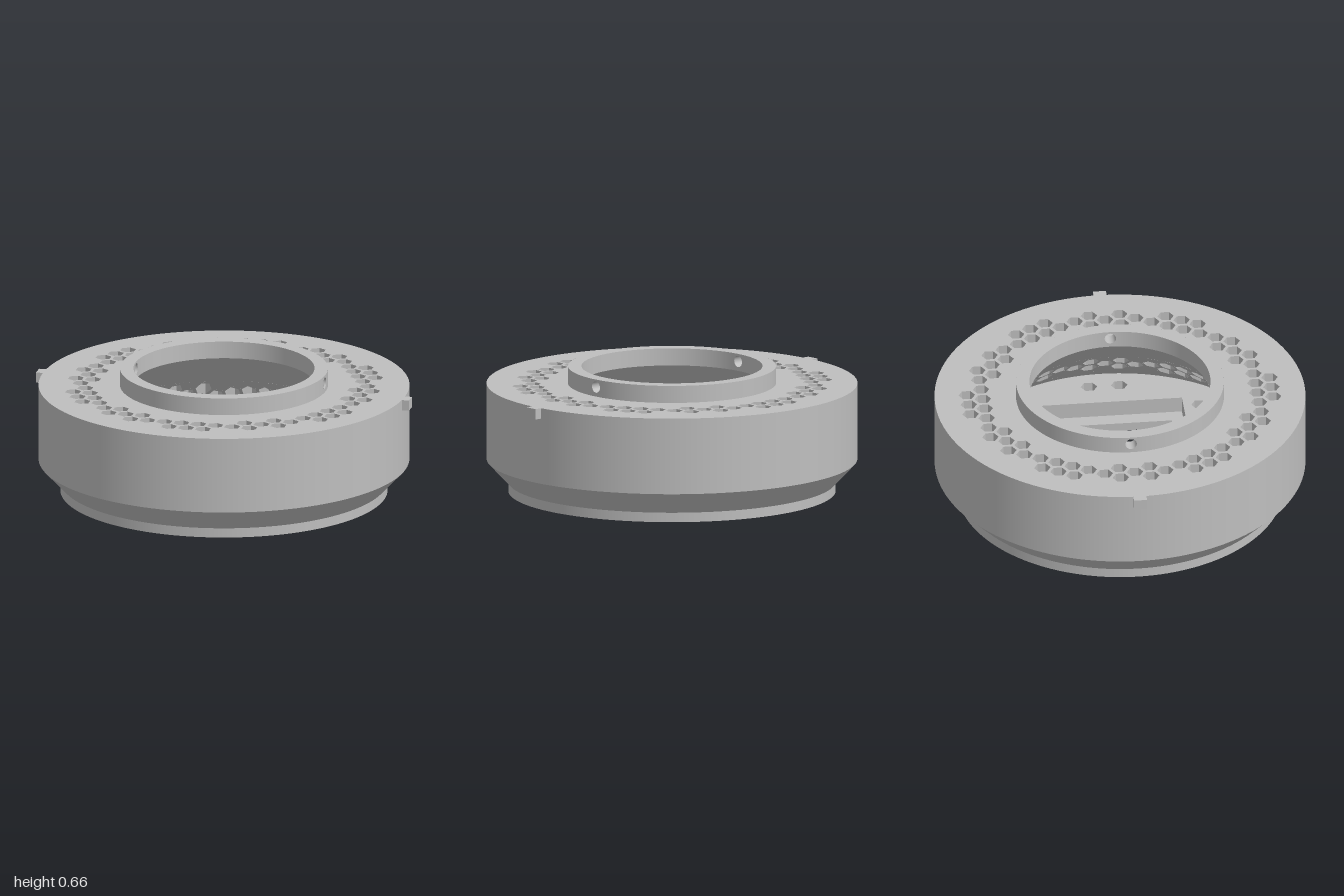
import * as THREE from 'three';
import { mergeGeometries } from 'three/addons/utils/BufferGeometryUtils.js';

const SEG = 128;
const TOP = 0.57, RIM = 0.66, FLOOR = 0.13, LIP = 0.045;
const BORE = 0.47, COLLAR = 0.54, BODY = 0.963, BASE = 0.85, CAVITY = 0.89;
const CONE_IN = 0.635, CONE_OUT = 0.848;
const DX = 0.091, DZ = 0.079, HEX = 0.043;
const PIN = 0.12; // half angle of the collar patch around a pin hole

// Height of the conical ceiling inside the housing at radius r
const coneY = r => TOP - (r - BORE) * (TOP - FLOOR) / (CAVITY - BORE);
const flat = y => () => y;

const ring = (cx, cz, r, n, start = 0) => Array.from({ length: n }, (_, i) => {
  const a = start + i / n * Math.PI * 2;
  return new THREE.Vector2(cx + r * Math.cos(a), cz + r * Math.sin(a));
});
const hexagon = ([x, z], r = HEX) => ring(x, z, r, 6, Math.PI / 6);
const rect = (x0, x1, z0, z1) =>
  [[x0, z0], [x1, z0], [x1, z1], [x0, z1]].map(([x, z]) => new THREE.Vector2(x, z));

// Honeycomb cell centres that pass a test
function cells(test) {
  const list = [];
  for (let row = -12; row <= 12; row++) {
    for (let k = -11; k <= 11; k++) {
      const x = (k + (row % 2 ? 0.5 : 0)) * DX, z = row * DZ;
      if (test(x, z, Math.hypot(x, z))) list.push([x, z]);
    }
  }
  return list;
}
const isVent = r => r > 0.67 && r < 0.8;

function shapeGeometry(outline, holes) {
  const shape = new THREE.Shape(outline);
  holes.forEach(h => shape.holes.push(new THREE.Path(h)));
  return new THREE.ShapeGeometry(shape);
}

// Horizontal sheet with holes
function sheet(outline, holes, y, up) {
  const g = shapeGeometry(outline, holes);
  g.rotateX(Math.PI / 2).translate(0, y, 0);
  if (up) g.index.array.reverse();
  g.computeVertexNormals();
  return g;
}

// One honeycomb tile of the conical ceiling, trimmed to the vented band
function coneTile([x, z]) {
  const g = shapeGeometry(hexagon([x, z], DX / Math.sqrt(3)),
    isVent(Math.hypot(x, z)) ? [hexagon([x, z])] : []);
  const p = g.attributes.position, n = g.attributes.normal;
  for (let i = 0; i < p.count; i++) {
    const a = Math.atan2(p.getY(i), p.getX(i));
    const r = THREE.MathUtils.clamp(Math.hypot(p.getX(i), p.getY(i)), CONE_IN, CONE_OUT);
    p.setXYZ(i, r * Math.cos(a), coneY(r), r * Math.sin(a));
    n.setXYZ(i, -0.72 * Math.cos(a), -0.69, -0.72 * Math.sin(a));
  }
  return g;
}

// Upright walls of a hole between two heights
function holeWall(points, low, high) {
  const v = [];
  points.forEach((a, i) => {
    const b = points[(i + 1) % points.length];
    const a0 = [a.x, low(a.length()), a.y], a1 = [a.x, high(a.length()), a.y];
    const b0 = [b.x, low(b.length()), b.y], b1 = [b.x, high(b.length()), b.y];
    v.push(...a0, ...a1, ...b0, ...b0, ...a1, ...b1);
  });
  const g = new THREE.BufferGeometry();
  g.setAttribute('position', new THREE.Float32BufferAttribute(v, 3));
  g.computeVertexNormals();
  return g;
}

// Round band between two radii and heights, optionally only part of a turn
const band = (r0, y0, r1, y1, start = 0, sweep = Math.PI * 2) => new THREE.LatheGeometry(
  [new THREE.Vector2(r0, y0), new THREE.Vector2(r1, y1)], SEG, start, sweep);

// Curved piece of collar around a pin hole; side is +1 or -1 along x
function pinPatch(r, side, inward) {
  const hole = ring(0, 0.62, 0.03, 24).map(q => new THREE.Vector2(Math.asin(q.x / r), q.y));
  const edge = [];
  for (let i = -4; i <= 4; i++) edge.push(new THREE.Vector2(PIN * i / 4, TOP));
  for (let i = 4; i >= -4; i--) edge.push(new THREE.Vector2(PIN * i / 4, RIM));
  const g = shapeGeometry(edge, [hole]);
  const p = g.attributes.position, n = g.attributes.normal;
  const facing = inward ? -side : side;
  for (let i = 0; i < p.count; i++) {
    const c = Math.cos(p.getX(i)), s = Math.sin(p.getX(i));
    p.setXYZ(i, side * r * c, p.getY(i), side * r * s);
    n.setXYZ(i, facing * c, 0, facing * s);
  }
  if (!inward) g.index.array.reverse();
  return g;
}

export function createModel() {
  const group = new THREE.Group();
  const grey = new THREE.MeshStandardMaterial({ color: 0xbebebe, side: THREE.DoubleSide });
  grey.name = 'grey';
  const add = (name, geometry) => {
    const m = new THREE.Mesh(geometry, grey);
    m.name = name;
    group.add(m);
    return m;
  };

  // Outer shell
  add('baseEdge', band(BASE, 0, BASE, 0.05));
  add('lowerBevel', band(BASE, 0.05, BODY, 0.17));
  add('bodyWall', band(BODY, 0.17, BODY, TOP));

  // Top face with a ring of hexagonal vents
  const ventHoles = cells((x, z, r) => isVent(r)).map(c => hexagon(c));
  add('topFace', sheet(ring(0, 0, BODY, SEG), [ring(0, 0, COLLAR, SEG), ...ventHoles], TOP, true));
  add('ventWalls', mergeGeometries(ventHoles.map(h => holeWall(h, coneY, flat(TOP)))));

  // Conical ceiling pierced by the vents
  add('innerCone', band(CONE_IN, coneY(CONE_IN), BORE, TOP));
  add('ventedCone', mergeGeometries(cells((x, z, r) => r > 0.58 && r < 0.905).map(coneTile)));
  add('outerCone', band(CAVITY, FLOOR, CONE_OUT, coneY(CONE_OUT)));

  // Collar with a pin hole on each side
  add('collarRim', band(COLLAR, RIM, BORE, RIM));
  for (const side of [-1, 1]) {
    const start = (side > 0 ? -Math.PI / 2 : Math.PI / 2) + PIN, sweep = Math.PI - 2 * PIN;
    add('collarOuterWall', band(COLLAR, TOP, COLLAR, RIM, start, sweep));
    add('collarInnerWall', band(BORE, RIM, BORE, TOP, start, sweep));
    add('collarOuterPatch', pinPatch(COLLAR, side, false));
    add('collarInnerPatch', pinPatch(BORE, side, true));
    const pin = new THREE.CylinderGeometry(0.03, 0.03, COLLAR - BORE, 24, 1, true);
    pin.rotateZ(Math.PI / 2);
    add('pinHole', pin).position.set(side * (COLLAR + BORE) / 2, 0.62, 0);
    // Side tab
    add('sideTab', new THREE.BoxGeometry(0.06, 0.055, 0.068)).position.set(side * 0.97, TOP - 0.0275, 0);
  }

  // Floor vents: a back patch, a pair at each side and a cluster at each front corner
  const floorVents = cells((x, z, r) => {
    const ax = Math.abs(x);
    const back = z < -0.5 && z > -0.75 && r < 0.785;
    const sides = ax > 0.75 && ax < 0.8 && Math.abs(z) < 0.1 && z !== 0;
    const corners = Math.hypot(ax - 0.478, z - 0.53) < 0.115 && r > 0.64 && r < 0.785;
    return back || sides || corners;
  });
  const through = [ring(0, 0.56, 0.088, 32), ...floorVents.map(c => hexagon(c))];

  // Floor with a rectangular opening that widens into a pocket above a thin lip
  const opening = rect(-0.48, 0.54, -0.425, 0.33);
  const pocket = rect(-0.6, 0.62, -0.48, 0.39);
  add('underside', sheet(ring(0, 0, BASE, SEG), [opening, ...through], 0, false));
  add('pocketLip', sheet(pocket, [opening], LIP, true));
  add('cavityFloor', sheet(ring(0, 0, CAVITY, SEG), [pocket, ...through], FLOOR, true));
  add('openingWall', holeWall(opening, flat(0), flat(LIP)));
  add('pocketWall', holeWall(pocket, flat(LIP), flat(FLOOR)));
  add('floorHoleWalls', mergeGeometries(through.map(h => holeWall(h, flat(0), flat(FLOOR)))));
  return group;
}
